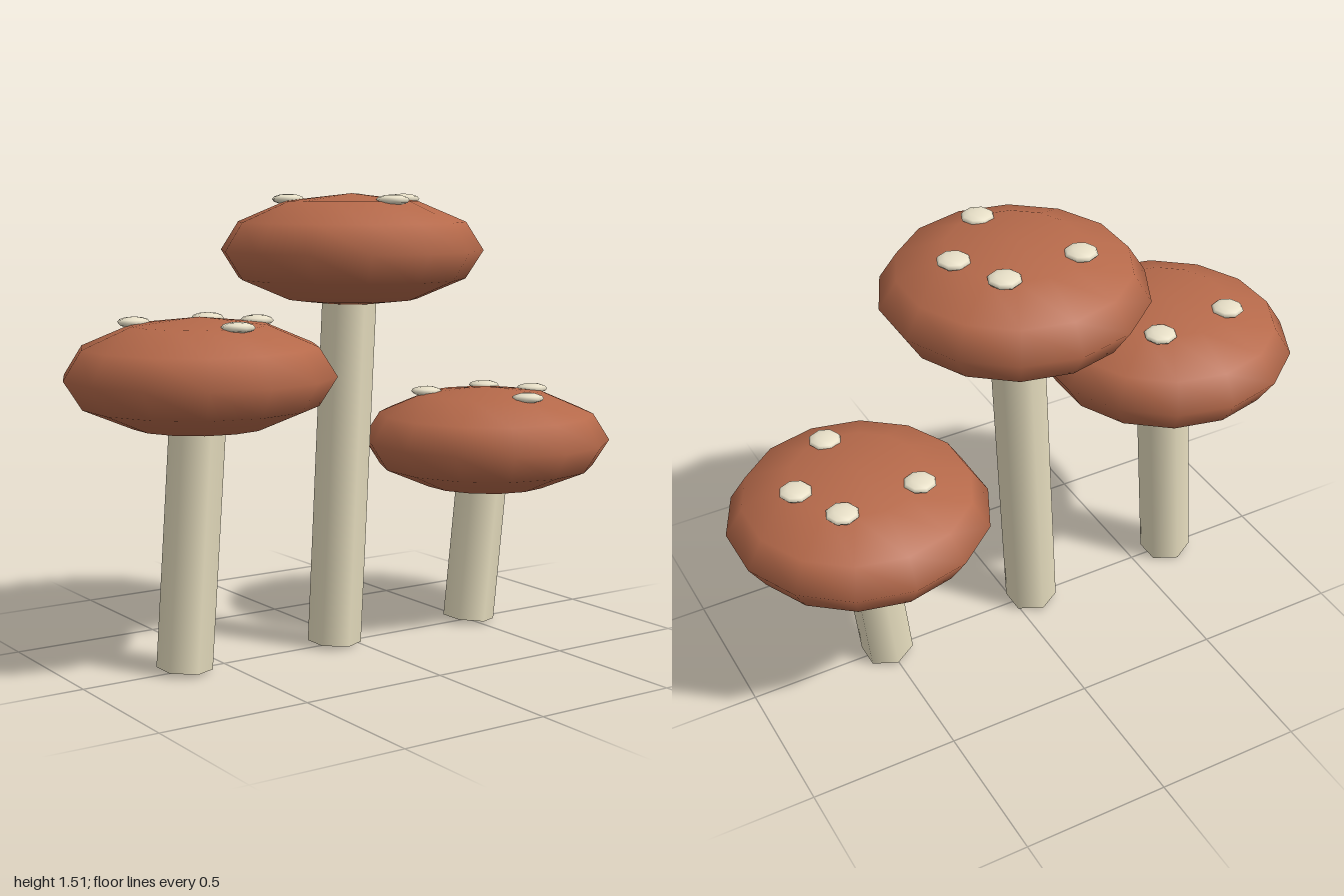
import * as THREE from 'three';

const capMaterial = new THREE.MeshStandardMaterial({ color: 0xb5694a });
const stemMaterial = new THREE.MeshStandardMaterial({ color: 0xe8dfc0 });
const spotMaterial = new THREE.MeshStandardMaterial({ color: 0xe8e0c8 });

// Spot positions relative to the cap centre: x, z
const SPOTS = [[-0.155, -0.145], [0.125, -0.17], [0.21, 0], [0.02, 0.205]];

const STEM_RADIUS = 0.09;
const BASE_SHIFT = -0.07; // the foot of each stem sits beside the cap centre
const BASE_Y = 0.007;

function createMushroom(name, x, capY) {
  const mushroom = new THREE.Group();
  mushroom.name = name;
  mushroom.position.x = x;

  // Six-sided stem leaning from the ground to the cap centre
  const rise = capY - BASE_Y;
  const length = Math.hypot(BASE_SHIFT, rise);
  const stem = new THREE.Mesh(
    new THREE.CylinderGeometry(STEM_RADIUS, STEM_RADIUS, length, 6), stemMaterial);
  stem.name = 'stem';
  stem.position.set(BASE_SHIFT / 2, BASE_Y + rise / 2, 0);
  stem.rotation.z = Math.atan2(BASE_SHIFT, rise);
  mushroom.add(stem);

  // Flattened low-poly cap, with corners pointing to front and back
  const capGeometry = new THREE.SphereGeometry(0.435, 14, 6);
  capGeometry.rotateY(Math.PI / 2);
  capGeometry.scale(1, 0.185 / 0.435, 1);
  const cap = new THREE.Mesh(capGeometry, capMaterial);
  cap.name = 'cap';
  cap.position.y = capY;
  mushroom.add(cap);

  // Pale spots on top of the cap
  const spotGeometry = new THREE.SphereGeometry(0.055, 8, 6);
  spotGeometry.scale(1, 0.32, 1);
  for (const [sx, sz] of SPOTS) {
    const spot = new THREE.Mesh(spotGeometry, spotMaterial);
    spot.name = 'spot';
    spot.position.set(sx, capY + 0.165, sz);
    mushroom.add(spot);
  }
  return mushroom;
}

export function createModel() {
  const group = new THREE.Group();
  group.name = 'mushroomCluster';
  group.add(
    createMushroom('rightMushroom', -0.575, 0.945),
    createMushroom('middleMushroom', 0, 1.325),
    createMushroom('leftMushroom', 0.575, 0.645));
  return group;
}
